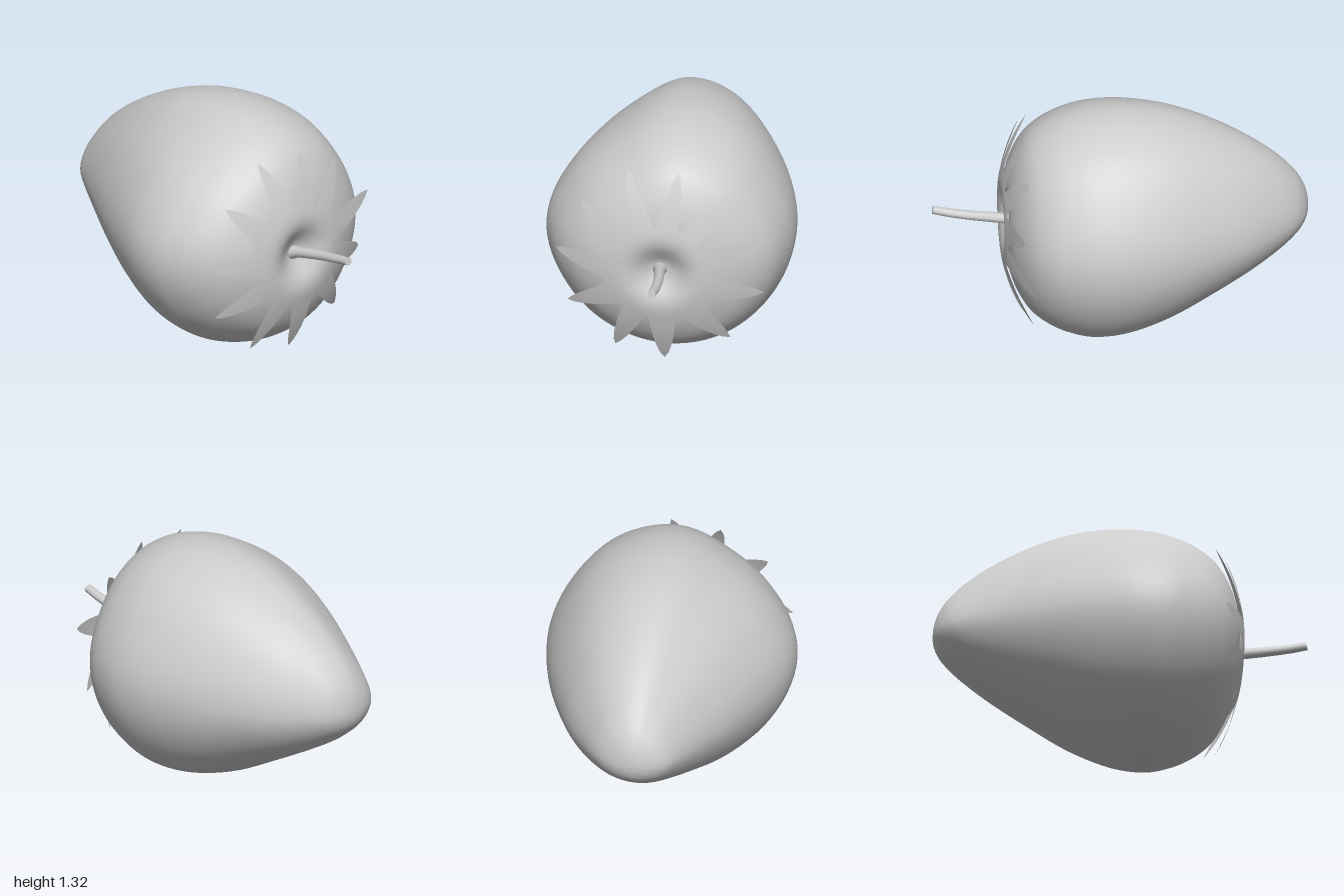
import * as THREE from 'three';

const grey = new THREE.MeshStandardMaterial({ color: 0xcccccc });
const greyThin = new THREE.MeshStandardMaterial({ color: 0xcccccc, side: THREE.DoubleSide });

// Skin a list of closed rings (each a list of Vector3, same length)
function loft(rings) {
  const n = rings[0].length, index = [];
  for (let i = 0; i < rings.length - 1; i++) {
    for (let j = 0; j < n; j++) {
      const a = i * n + j, b = i * n + (j + 1) % n, c = a + n, d = b + n;
      index.push(a, b, c, b, d, c);
    }
  }
  const geo = new THREE.BufferGeometry().setFromPoints(rings.flat());
  geo.setIndex(index);
  geo.computeVertexNormals();
  return geo;
}

function named(name, geo, material) {
  const mesh = new THREE.Mesh(geo, material);
  mesh.name = name;
  return mesh;
}

// Fruit body: sections along z, [z, left, right, bottom, top]
function makeBody() {
  const cx = 0.015, cy = 0.665;
  const sections = [
    [-1, cx, cx, cy, cy], [-0.993, -0.045, 0.075, 0.618, 0.725],
    [-0.97, -0.11, 0.14, 0.568, 0.795], [-0.92, -0.175, 0.215, 0.513, 0.875],
    [-0.82, -0.24, 0.305, 0.434, 0.98], [-0.66, -0.335, 0.42, 0.335, 1.1],
    [-0.46, -0.45, 0.52, 0.22, 1.21], [-0.24, -0.56, 0.605, 0.1, 1.29],
    [-0.02, -0.645, 0.655, 0.022, 1.322], [0.16, -0.662, 0.658, 0.003, 1.315],
    [0.3, -0.625, 0.625, 0.035, 1.282], [0.41, -0.565, 0.575, 0.09, 1.23],
    [0.5, -0.48, 0.49, 0.165, 1.155], [0.565, -0.375, 0.375, 0.275, 1.04],
    [0.6, -0.27, 0.27, 0.39, 0.92], [0.605, -0.18, 0.18, 0.475, 0.835],
    [0.58, -0.1, 0.1, 0.55, 0.75], [0.53, cx, cx, cy, cy],
  ];
  const sides = new THREE.CatmullRomCurve3(
    sections.map(([z, l, r]) => new THREE.Vector3(l, r, z)), false, 'catmullrom');
  const heights = new THREE.CatmullRomCurve3(
    sections.map(([z, , , b, t]) => new THREE.Vector3(b, t, z)), false, 'catmullrom');
  // roundness every 30 degrees: one shoulder is flattened
  const roundness = new THREE.CatmullRomCurve3(
    [1, 0.97, 0.995, 1, 0.92, 0.933, 1, 0.99, 0.99, 1, 1, 0.995]
      .map((f) => new THREE.Vector3(f, 0, 0)), true, 'catmullrom');
  const rings = [], rows = 102, n = 96;
  for (let i = 0; i <= rows; i++) {
    const s = sides.getPoint(i / rows), h = heights.getPoint(i / rows), ring = [];
    for (let j = 0; j < n; j++) {
      const a = (j / n) * Math.PI * 2, c = Math.cos(a), k = Math.sin(a);
      const f = roundness.getPoint(j / n).x;
      ring.push(new THREE.Vector3(
        cx + f * c * (c > 0 ? s.y - cx : cx - s.x),
        cy + f * k * (k > 0 ? h.y - cy : cy - h.x), s.z));
    }
    rings.push(ring);
  }
  return named('fruitBody', loft(rings), grey);
}

// Leafy cap: pointed sepals, counter-clockwise, [tip x, tip y, next notch x, next notch y, tip lift]
function makeCalyx() {
  const cx = -0.01, cy = 0.635;
  const sepals = [
    [0.535, 0.82, 0.2, 0.79, 0.065], [0.337, 1.065, 0.095, 0.885, 0.01],
    [0.083, 1.19, -0.04, 0.905, 0.015], [-0.19, 1.178, -0.175, 0.855, -0.01],
    [-0.44, 0.99, -0.28, 0.727, 0], [-0.58, 0.685, -0.295, 0.567, -0.01],
    [-0.515, 0.375, -0.22, 0.43, 0], [-0.26, 0.12, -0.08, 0.37, 0.005],
    [0.005, 0.06, 0.085, 0.38, 0.02], [0.352, 0.193, 0.205, 0.485, 0],
    [0.53, 0.475, 0.25, 0.64, -0.01],
  ];
  const polar = (x, y) => ({ r: Math.hypot(x - cx, y - cy), a: Math.atan2(y - cy, x - cx) });
  const rim = [], steps = 16;
  // half a sepal edge, from a rounded notch v to the tip t
  const edge = (v, t, s, lift) => {
    let da = t.a - v.a;
    da -= Math.PI * 2 * Math.round(da / (Math.PI * 2));
    const r = v.r + (t.r - v.r) * s * s;
    return { r, a: v.a + da * (1 - (1 - s) ** 0.75), lift };
  };
  sepals.forEach(([tx, ty, vx, vy, lift], i) => {
    const before = sepals[(i + sepals.length - 1) % sepals.length];
    const t = polar(tx, ty), v0 = polar(before[2], before[3]), v1 = polar(vx, vy);
    for (let k = 0; k < steps; k++) rim.push(edge(v0, t, k / steps, lift));
    for (let k = 0; k < steps; k++) rim.push(edge(v1, t, 1 - k / steps, lift));
  });
  // domed sheet with a dimple around the stem, z at every 0.05 of radius
  const profile = new THREE.SplineCurve([
    0.565, 0.57, 0.596, 0.622, 0.632, 0.626, 0.612, 0.596, 0.577, 0.555, 0.53, 0.503, 0.473, 0.44,
  ].map((z, i) => new THREE.Vector2(i * 0.05, z)));
  const rings = [], rows = 26;
  for (let i = 0; i <= rows; i++) {
    const u = 1 - i / rows;
    rings.push(rim.map(({ r, a, lift }) => {
      const d = u * r, bend = Math.max(0, (d - 0.25) / 0.32) ** 1.5;
      return new THREE.Vector3(
        cx + d * Math.cos(a), cy + d * Math.sin(a), profile.getPoint(d / 0.65).y + lift * bend);
    }));
  }
  return named('leafyCap', loft(rings), greyThin);
}

// Stem: curved tube, flared at the base, with a flat cut end
function makeStem() {
  const group = new THREE.Group();
  group.name = 'stem';
  const path = new THREE.CatmullRomCurve3([
    [-0.016, 0.628, 0.54], [-0.01, 0.65, 0.63], [-0.001, 0.68, 0.78],
    [-0.004, 0.702, 0.9], [-0.013, 0.722, 0.995],
  ].map((p) => new THREE.Vector3(...p)));
  const n = 24, sides = 16, tipRadius = 0.022;
  const tube = new THREE.TubeGeometry(path, n, 1, sides, false);
  const pos = tube.attributes.position, v = new THREE.Vector3();
  for (let i = 0; i < pos.count; i++) {
    const t = Math.floor(i / (sides + 1)) / n, p = path.getPointAt(t);
    const radius = tipRadius + 0.008 * (1 - t) + 0.015 * Math.max(0, 1 - t * 5) ** 2;
    v.fromBufferAttribute(pos, i).sub(p).multiplyScalar(radius).add(p);
    pos.setXYZ(i, v.x, v.y, v.z);
  }
  tube.computeVertexNormals();
  const cap = named('stemEnd', new THREE.CircleGeometry(tipRadius, sides), grey);
  cap.position.copy(path.getPointAt(1));
  cap.quaternion.setFromUnitVectors(new THREE.Vector3(0, 0, 1), path.getTangentAt(1));
  group.add(named('stemStalk', tube, grey), cap);
  return group;
}

export function createModel() {
  const model = new THREE.Group();
  model.name = 'strawberry';
  model.add(makeBody(), makeCalyx(), makeStem());
  return model;
}
